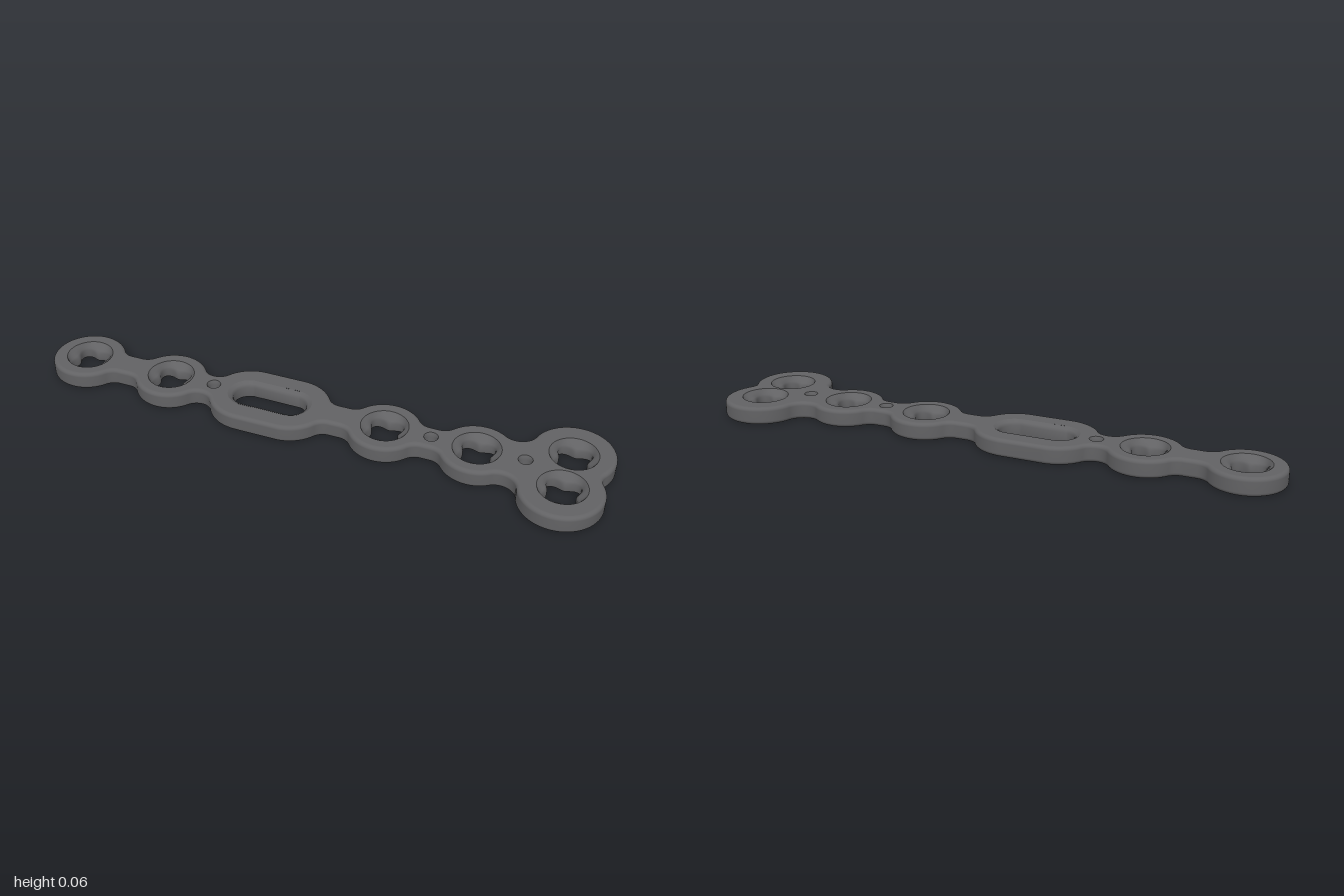
import * as THREE from 'three';

const H = 0.062, BEVEL = 0.013, NECK = 0.053, FILLET = 0.05;

// Half outline: alternating bulges and hollow fillets, from left to right
function halfOutline() {
  const chain = [];
  const bulge = (x, r) => chain.push({ x, z: 0, r, out: true });
  const hollow = (x, z, r) => chain.push({ x, z, r, out: false });
  const reach = (r) => Math.sqrt((r + FILLET) ** 2 - (NECK + FILLET) ** 2);
  const neckFrom = (x, r, side) => hollow(x + side * reach(r), NECK + FILLET, FILLET);

  bulge(-0.872, 0.128); neckFrom(-0.872, 0.128, 1);
  neckFrom(-0.543, 0.125, -1); bulge(-0.543, 0.125); neckFrom(-0.543, 0.125, 1);
  neckFrom(-0.24, 0.14, -1); bulge(-0.24, 0.14); bulge(-0.09, 0.14); neckFrom(-0.09, 0.14, 1);
  neckFrom(0.25, 0.125, -1); bulge(0.25, 0.125); neckFrom(0.25, 0.125, 1);
  neckFrom(0.565, 0.125, -1); bulge(0.565, 0.125);
  hollow(0.671, 0.151, 0.06);
  chain.push({ x: 0.861, z: 0.095, r: 0.139, out: true });
  hollow(1.013, 0, 0.04);

  const angleTo = (a, b) => {
    if (!b) return Math.PI;
    if (a.out === b.out) return a.out ? Math.PI / 2 : -Math.PI / 2;
    return Math.atan2(b.z - a.z, b.x - a.x);
  };
  const pts = [];
  chain.forEach((c, i) => {
    const a0 = angleTo(c, chain[i - 1]), a1 = angleTo(c, chain[i + 1]);
    const n = Math.max(5, Math.ceil(Math.abs(a1 - a0) / 0.11));
    for (let k = 0; k <= n; k++) {
      const a = a0 + (a1 - a0) * k / n;
      const p = new THREE.Vector2(c.x + c.r * Math.cos(a), c.z + c.r * Math.sin(a));
      if (!pts.length || p.distanceTo(pts[pts.length - 1]) > 0.003) pts.push(p);
    }
  });
  return pts;
}

// Move a closed outline inwards along its normals
function inset(pts, d) {
  const n = pts.length;
  return pts.map((p, i) => {
    const t = pts[(i + 1) % n].clone().sub(pts[(i + n - 1) % n]).normalize();
    return new THREE.Vector2(p.x - t.y * d, p.y + t.x * d);
  });
}

// Skin closed rings stacked in y; inward = true for hole walls
function loft(rings, inward) {
  const n = rings[0].pts.length, pos = [], idx = [];
  rings.forEach(({ pts, y }) => pts.forEach((p) => pos.push(p.x, y, p.y)));
  for (let r = 0; r < rings.length - 1; r++) {
    for (let i = 0; i < n; i++) {
      const a = r * n + i, b = r * n + (i + 1) % n, c = a + n, d = b + n;
      if (inward) idx.push(a, b, c, b, d, c);
      else idx.push(a, c, b, b, c, d);
    }
  }
  const g = new THREE.BufferGeometry();
  g.setAttribute('position', new THREE.Float32BufferAttribute(pos, 3));
  g.setIndex(idx);
  g.computeVertexNormals();
  return g;
}

const around = (n, f) => Array.from({ length: n }, (_, i) => f(i / n * Math.PI * 2));

// Four-lobed screw hole opening into a round countersink
function cloverRing(cx, cz, flare, round) {
  return around(64, (a) => {
    const lobes = 0.058 - 0.012 * Math.cos(4 * a) + flare;
    const r = THREE.MathUtils.lerp(lobes, 0.081, round);
    return new THREE.Vector2(cx + r * Math.cos(a), cz + r * Math.sin(a));
  });
}

// Long slot, also used with no length for the pin holes
function slotRing(cx, half, r) {
  return around(48, (a) => new THREE.Vector2(
    cx + r * Math.cos(a) + (Math.cos(a) >= 0 ? half : -half), r * Math.sin(a)));
}

const cloverHole = (x, z) => [
  [0, 0.008, 0], [0.004, 0.003, 0], [0.01, 0, 0], [0.034, 0, 0],
  [0.042, 0, 0.25], [0.051, 0, 0.6], [0.058, 0, 0.88], [H, 0, 1],
].map(([y, flare, round]) => ({ y, pts: cloverRing(x, z, flare, round) }));

const slotHole = (x, half, r, f) => [
  [0, 0.6], [0.004, 0.2], [0.01, 0], [0.045, 0], [0.055, 0.35], [H, 1],
].map(([y, k]) => ({ y, pts: slotRing(x, half, r + f * k) }));

export function createModel() {
  const group = new THREE.Group();
  group.name = 'bonePlate';
  const metal = new THREE.MeshStandardMaterial({ color: 0x626264 });
  metal.name = 'darkGreyMetal';
  const add = (name, geometry) => {
    const mesh = new THREE.Mesh(geometry, metal);
    mesh.name = name;
    group.add(mesh);
  };

  // Mirror the half outline into a closed loop
  const half = halfOutline();
  const outline = [
    ...half.map((p) => new THREE.Vector2(p.x, -p.y)),
    ...half.slice(1, -1).reverse(),
  ];

  // Rounded outer rim
  const rim = [], steps = 5;
  for (let i = 0; i <= steps; i++) {
    const a = i / steps * Math.PI / 2;
    rim.push({ y: BEVEL * (1 - Math.sin(a)), pts: inset(outline, BEVEL * (1 - Math.cos(a))) });
  }
  rim.reverse();
  const lower = rim.map((r) => ({ y: r.y, pts: r.pts }));
  lower.sort((a, b) => a.y - b.y);
  const upper = lower.map((r) => ({ y: H - r.y, pts: r.pts })).reverse();
  const rings = [...lower, ...upper];
  add('outerRim', loft(rings, false));

  // Screw holes, slot and pin holes
  const holes = [];
  const screws = [[-0.87, 0], [-0.543, 0], [0.25, 0], [0.565, 0], [0.863, 0.087], [0.863, -0.087]];
  screws.forEach(([x, z]) => holes.push(['screwHole', cloverHole(x, z)]));
  holes.push(['longSlot', slotHole(-0.166, 0.079, 0.052, 0.02)]);
  [-0.377, 0.41, 0.725].forEach((x) => holes.push(['pinHole', slotHole(x, 0, 0.02, 0.004)]));
  holes.forEach(([name, wall]) => add(name, loft(wall, true)));

  // Flat faces; the plate is symmetric in z, so each cap just turns over
  const cap = (edge, pick) => {
    const shape = new THREE.Shape(edge);
    holes.forEach(([, wall]) => shape.holes.push(new THREE.Path(pick(wall).pts)));
    return new THREE.ShapeGeometry(shape);
  };
  add('bottomFace', cap(rings[0].pts, (w) => w[0]).rotateX(Math.PI / 2));
  add('topFace', cap(rings[rings.length - 1].pts, (w) => w[w.length - 1])
    .rotateX(-Math.PI / 2).translate(0, H, 0));

  return group;
}
